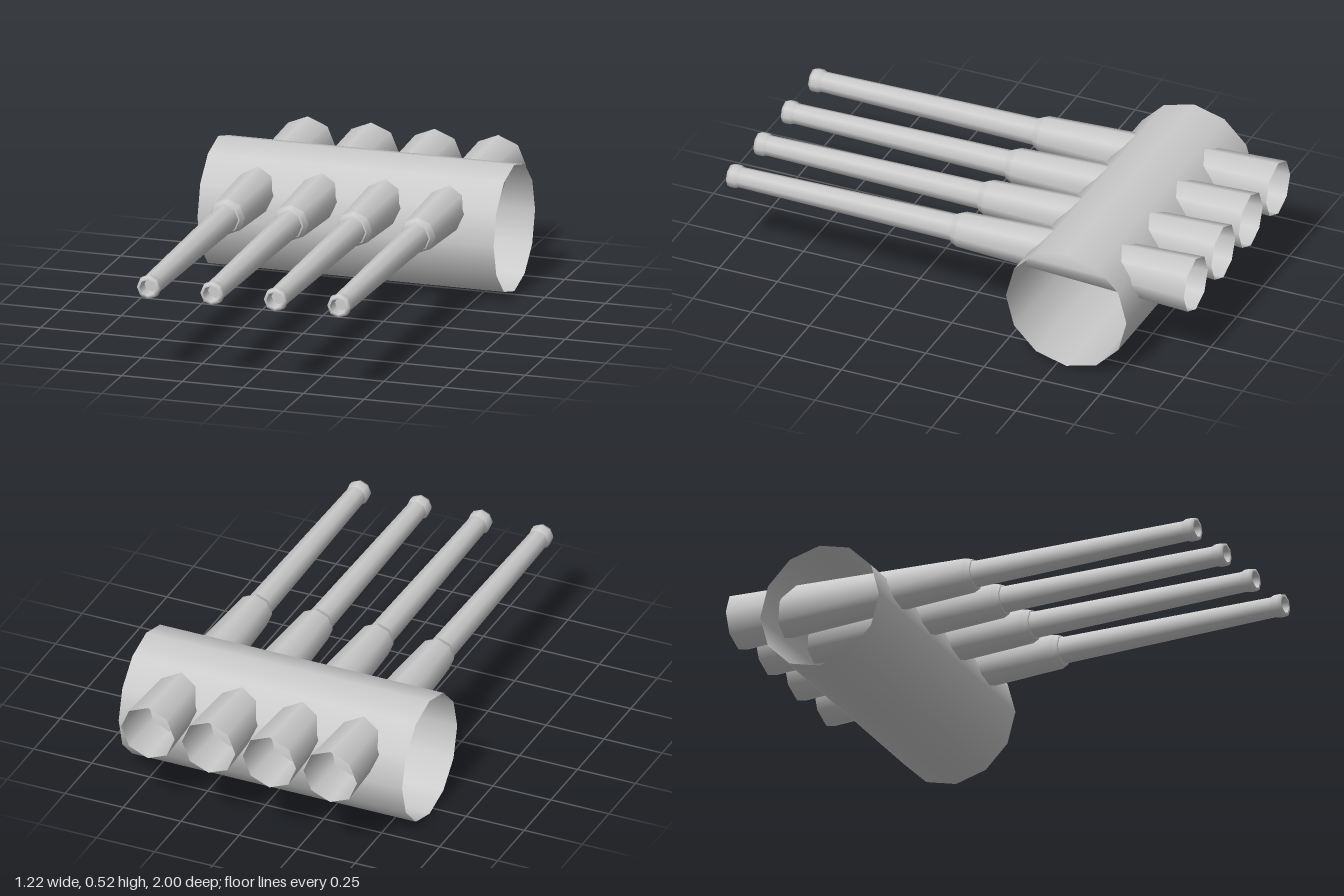
import * as THREE from 'three';

export function createModel() {
  const model = new THREE.Group();
  const material = new THREE.MeshStandardMaterial({ color: 0xcccccc, side: THREE.DoubleSide });

  // Open, thin-walled drum lying along x
  const drum = new THREE.Mesh(
    new THREE.CylinderGeometry(0.259, 0.259, 1.222, 12, 1, true).rotateZ(Math.PI / 2),
    material
  );
  drum.name = 'drum';
  drum.position.set(0, 0.259, -0.541);
  model.add(drum);

  // Eight-sided sections of one tube, as [radius, z] profiles from back to front
  const sections = {
    sleeve: [[0.115, -1], [0.073, 0.005]],
    collar: [[0.073, 0.005], [0.061, 0.033]],
    collarFace: [[0.061, 0.033], [0.055, 0.035]],
    pipe: [[0.055, 0.035], [0.042, 0.95]],
    tipFlare: [[0.042, 0.95], [0.048, 0.965], [0.048, 0.988]],
    tipRim: [[0.048, 0.988], [0.044, 1], [0.034, 1]],
    bore: [[0.034, 1], [0.029, 0.95]],
    boreEnd: [[0.029, 0.95], [0, 0.95]]
  };
  const parts = Object.entries(sections).map(([name, profile]) => {
    const points = profile.map(([r, z]) => new THREE.Vector2(r, z));
    return [name, new THREE.LatheGeometry(points, 8).rotateX(Math.PI / 2)];
  });

  // Four parallel tubes passing through the drum
  for (let i = 0; i < 4; i++) {
    const tube = new THREE.Group();
    tube.name = 'tube' + (i + 1);
    tube.position.set((i - 1.5) * 0.262, 0.369, 0);
    for (const [name, geometry] of parts) {
      const mesh = new THREE.Mesh(geometry, material);
      mesh.name = name;
      tube.add(mesh);
    }
    model.add(tube);
  }
  return model;
}
